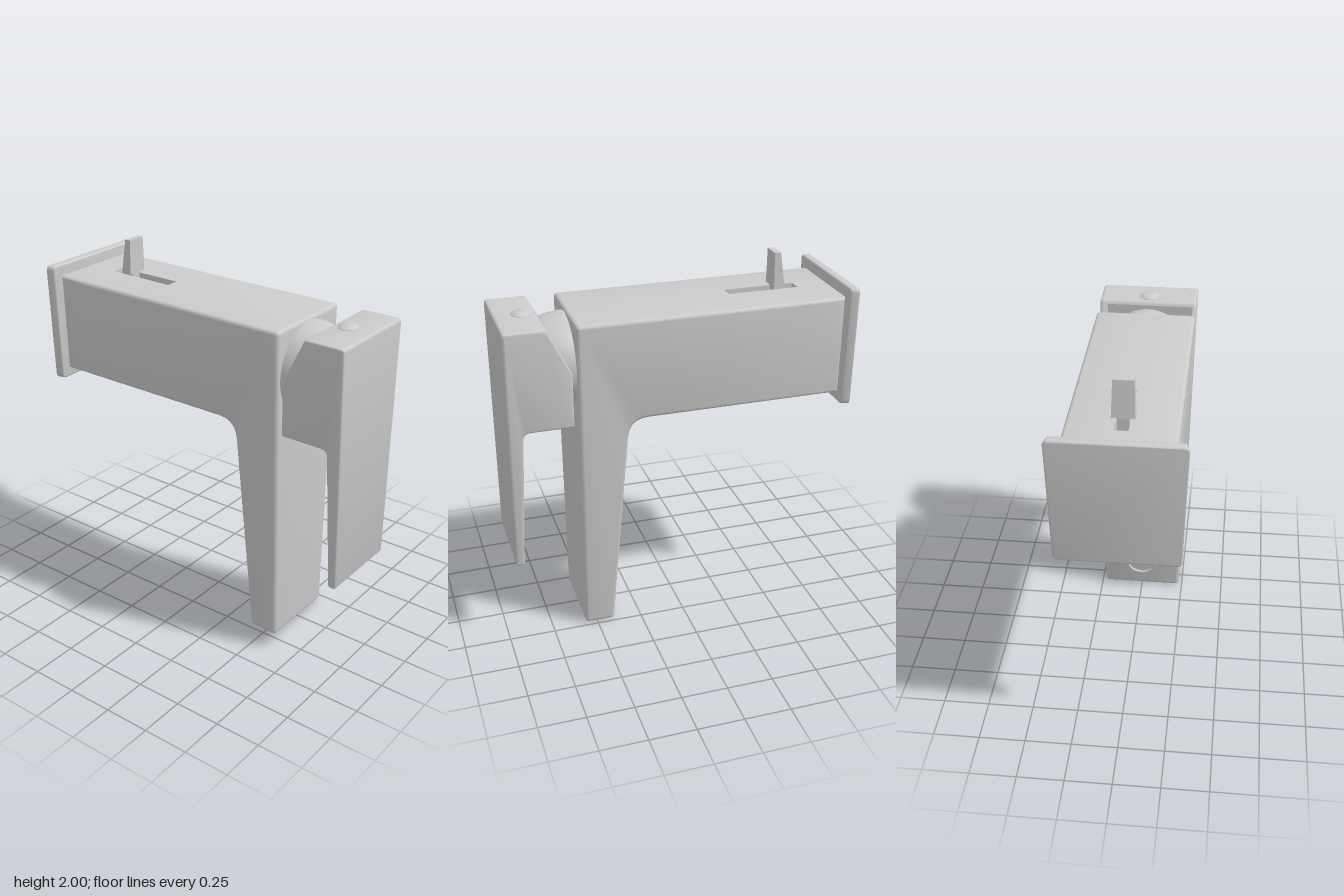
import * as THREE from 'three';
import { toCreasedNormals } from 'three/addons/utils/BufferGeometryUtils.js';

const material = new THREE.MeshStandardMaterial({ color: 0xcccccc });

// Body and handle share one taper: wide at the top, narrow at the foot
const halfWidth = (y) => 0.23 + 0.025 * y;

function addMesh(parent, name, geometry, crease = 0.6) {
  const mesh = new THREE.Mesh(toCreasedNormals(geometry, crease), material);
  mesh.name = name;
  parent.add(mesh);
  return mesh;
}

// Corners are { p: [z, y], r: rounding, cut: [z, y] }, counter-clockwise.
// Each outline point keeps its plain position and its place in the recess.
function outline(corners) {
  const points = [];
  corners.forEach(({ p, r, cut }, i) => {
    const c = new THREE.Vector2(...p);
    if (!r) {
      points.push({ plain: c, cut: cut ? new THREE.Vector2(...cut) : c });
      return;
    }
    const n = corners.length;
    const towards = (q) => new THREE.Vector2(...q.p).sub(c).setLength(r).add(c);
    const curve = new THREE.QuadraticBezierCurve(
      towards(corners[(i + n - 1) % n]), c, towards(corners[(i + 1) % n]));
    curve.getPoints(5).forEach((v) => points.push({ plain: v, cut: v }));
  });
  return points;
}

// Moves every outline point inwards by d, along the mitre of its two edges
function inset(points, d) {
  const n = points.length;
  return points.map((p, i) => {
    const a = p.clone().sub(points[(i + n - 1) % n]).normalize();
    const b = points[(i + 1) % n].clone().sub(p).normalize();
    const normal = new THREE.Vector2(-a.y - b.y, a.x + b.x).normalize();
    const stretch = Math.max(0.5, normal.x * -a.y + normal.y * a.x);
    return p.clone().addScaledVector(normal, d / stretch);
  });
}

// Lofts a side outline across x with rounded rims and a recess between
// x = -recessHalf(y) and x = +recessHalf(y)
function loftSideways(corners, rim, recessHalf) {
  const points = outline(corners);
  const plain = points.map((p) => p.plain);
  const cut = points.map((p) => p.cut);
  const half = [];
  for (let i = 0; i <= 3; i++) {
    const t = (i / 3) * Math.PI / 2;
    half.push({
      loop: inset(plain, rim * (1 - Math.sin(t))),
      x: (y) => halfWidth(y) - rim * (1 - Math.cos(t)),
    });
  }
  half.push({ loop: plain, x: recessHalf }, { loop: cut, x: recessHalf, from: plain });

  const section = ({ loop, x, from }, side) =>
    loop.map((p, j) => new THREE.Vector3(side * x((from || loop)[j].y), p.y, p.x));
  const sections = [
    ...half.map((s) => section(s, -1)),
    ...half.slice().reverse().map((s) => section(s, 1)),
  ];

  const positions = [];
  const triangle = (...vs) => vs.forEach((v) => positions.push(v.x, v.y, v.z));
  const n = plain.length;
  for (let i = 0; i + 1 < sections.length; i++) {
    for (let j = 0; j < n; j++) {
      const k = (j + 1) % n;
      const [a, b] = [sections[i][j], sections[i][k]];
      const [d, c] = [sections[i + 1][j], sections[i + 1][k]];
      if (c.distanceTo(b) > 1e-6) triangle(a, c, b);
      if (a.distanceTo(d) > 1e-6) triangle(a, d, c);
    }
  }
  // Flat sides
  const last = sections[sections.length - 1];
  for (const [a, b, c] of THREE.ShapeUtils.triangulateShape(half[0].loop, [])) {
    triangle(sections[0][a], sections[0][b], sections[0][c]);
    triangle(last[a], last[c], last[b]);
  }
  const geometry = new THREE.BufferGeometry();
  geometry.setAttribute('position', new THREE.Float32BufferAttribute(positions, 3));
  return geometry;
}

function lathe(profile, segments = 48) {
  return new THREE.LatheGeometry(profile.map(([r, y]) => new THREE.Vector2(r, y)), segments);
}

export function createModel() {
  const model = new THREE.Group();
  model.name = 'basinTap';

  // Body: upright leg and horizontal beam with a slot in its top
  addMesh(model, 'body', loftSideways([
    { p: [0.40, 0], r: 0.022 },
    { p: [0.565, 0], r: 0.022 },
    { p: [0.565, 1.795], r: 0.022 },
    { p: [-0.317, 1.795] },
    { p: [-0.318, 1.795], cut: [-0.318, 1.72] },
    { p: [-0.707, 1.795], cut: [-0.707, 1.72] },
    { p: [-0.708, 1.795] },
    { p: [-0.885, 1.795] },
    { p: [-0.885, 1.245] },
    { p: [0.295, 1.245], r: 0.1 },
  ], 0.02, () => 0.035));

  // Handle: hollow head around the cartridge, thin lever hanging below
  addMesh(model, 'handle', loftSideways([
    { p: [0.89, 0.455], r: 0.014 },
    { p: [0.935, 0.455], r: 0.014 },
    { p: [0.935, 1.795], r: 0.018 },
    { p: [0.715, 1.795], r: 0.012 },
    { p: [0.705, 1.775] },
    { p: [0.7045, 1.774], cut: [0.85, 1.774] },
    { p: [0.59, 1.545], cut: [0.85, 1.545] },
    { p: [0.59, 1.271], cut: [0.85, 1.271] },
    { p: [0.59, 1.27] },
    { p: [0.59, 1.245], r: 0.01 },
    { p: [0.855, 1.245], r: 0.035 },
  ], 0.012, (y) => halfWidth(y) - 0.022));

  // Round cartridge between body and handle
  const cartridge = addMesh(model, 'cartridge', lathe([
    [0.245, 0], [0.245, 0.03], [0.24, 0.065], [0.232, 0.105], [0.22, 0.14],
    [0.12, 0.145], [0.12, 0.3],
  ]));
  cartridge.position.set(0, 1.535, 0.56);
  cartridge.rotation.x = Math.PI / 2;

  // Domed cap on the handle
  const cap = addMesh(model, 'handleCap', lathe([
    [0.055, -0.01], [0.053, 0.002], [0.04, 0.011], [0.02, 0.015], [0, 0.016],
  ], 32));
  cap.position.set(0, 1.795, 0.79);

  // Wall plate, slightly narrower at the bottom and flared to the back
  const plateShape = new THREE.Shape();
  const plate = outline([
    { p: [-0.313, 1.19], r: 0.025 },
    { p: [0.313, 1.19], r: 0.025 },
    { p: [0.335, 1.857], r: 0.025 },
    { p: [-0.335, 1.857], r: 0.025 },
  ]);
  plateShape.setFromPoints(plate.map((p) => p.plain));
  const plateGeometry = new THREE.ExtrudeGeometry(plateShape, {
    depth: 0.034, bevelThickness: 0.008, bevelSize: 0.008, bevelOffset: -0.008, bevelSegments: 3,
  });
  plateGeometry.translate(0, 0, -0.927);
  const platePosition = plateGeometry.attributes.position;
  for (let i = 0; i < platePosition.count; i++) {
    const flare = 1 - 0.8 * (platePosition.getZ(i) + 0.935);
    platePosition.setX(i, platePosition.getX(i) * flare);
  }
  addMesh(model, 'wallPlate', plateGeometry);

  // Sliding lever in the slot: a wedge on a short neck
  const wedge = new THREE.BoxGeometry(0.116, 0.19, 0.06);
  const wedgePosition = wedge.attributes.position;
  for (let i = 0; i < wedgePosition.count; i++) {
    if (wedgePosition.getY(i) < 0) continue;
    wedgePosition.setX(i, wedgePosition.getX(i) * 0.9);
    if (wedgePosition.getZ(i) < 0) wedgePosition.setZ(i, -0.004);
  }
  addMesh(model, 'slideLever', wedge).position.set(0, 1.905, -0.595);
  addMesh(model, 'slideLeverNeck', new THREE.BoxGeometry(0.06, 0.11, 0.042)).position.set(0, 1.765, -0.597);

  // Outlet nozzle on the sloping back of the leg
  const outlet = addMesh(model, 'outlet', lathe([
    [0.125, -0.01], [0.125, 0.003], [0.107, 0.004], [0.105, 0.024], [0.098, 0.032],
    [0.086, 0.032], [0.08, 0.024], [0, 0.024],
  ]));
  outlet.position.set(0, 0.205, 0.383);
  outlet.rotation.x = -Math.PI / 2 - 0.085;

  return model;
}
